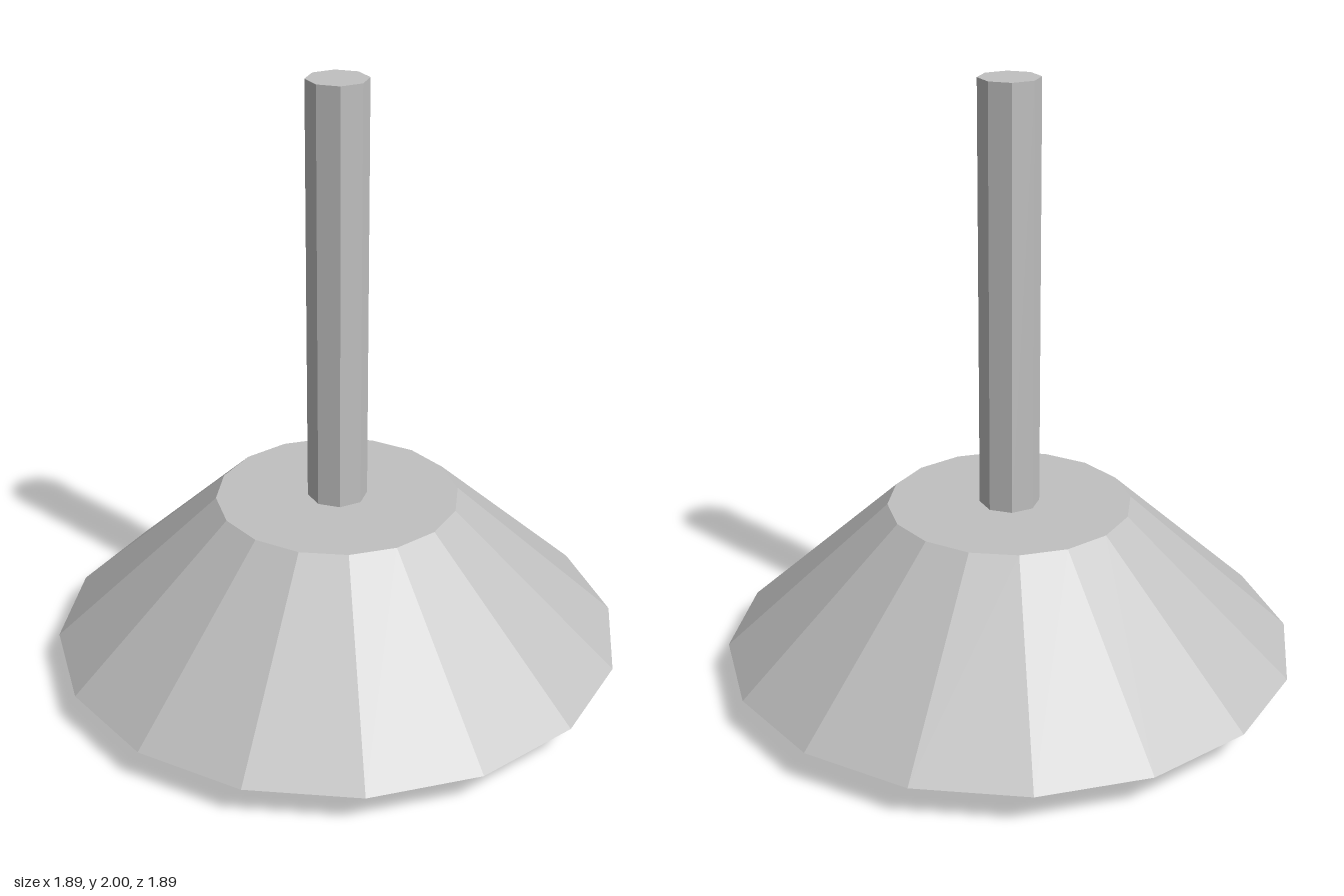
import * as THREE from 'three';

export function createModel() {
  const model = new THREE.Group();
  const grey = new THREE.MeshStandardMaterial({ color: 0xc0c0c0 });
  grey.name = 'light grey';

  // Faceted solid of revolution between two heights
  function addPart(name, topRadius, bottomRadius, y0, y1, sides) {
    const geometry = new THREE.CylinderGeometry(topRadius, bottomRadius, y1 - y0, sides).toNonIndexed();
    geometry.computeVertexNormals(); // flat facets
    const mesh = new THREE.Mesh(geometry, grey);
    mesh.name = name;
    mesh.position.y = (y0 + y1) / 2;
    model.add(mesh);
  }

  addPart('baseDisc', 0.613, 0.613, 0, 0.1, 16);
  addPart('conicalBody', 0.4, 0.943, 0.109, 0.609, 16);
  addPart('stem', 0.098, 0.098, 0.609, 2, 8);

  return model;
}
